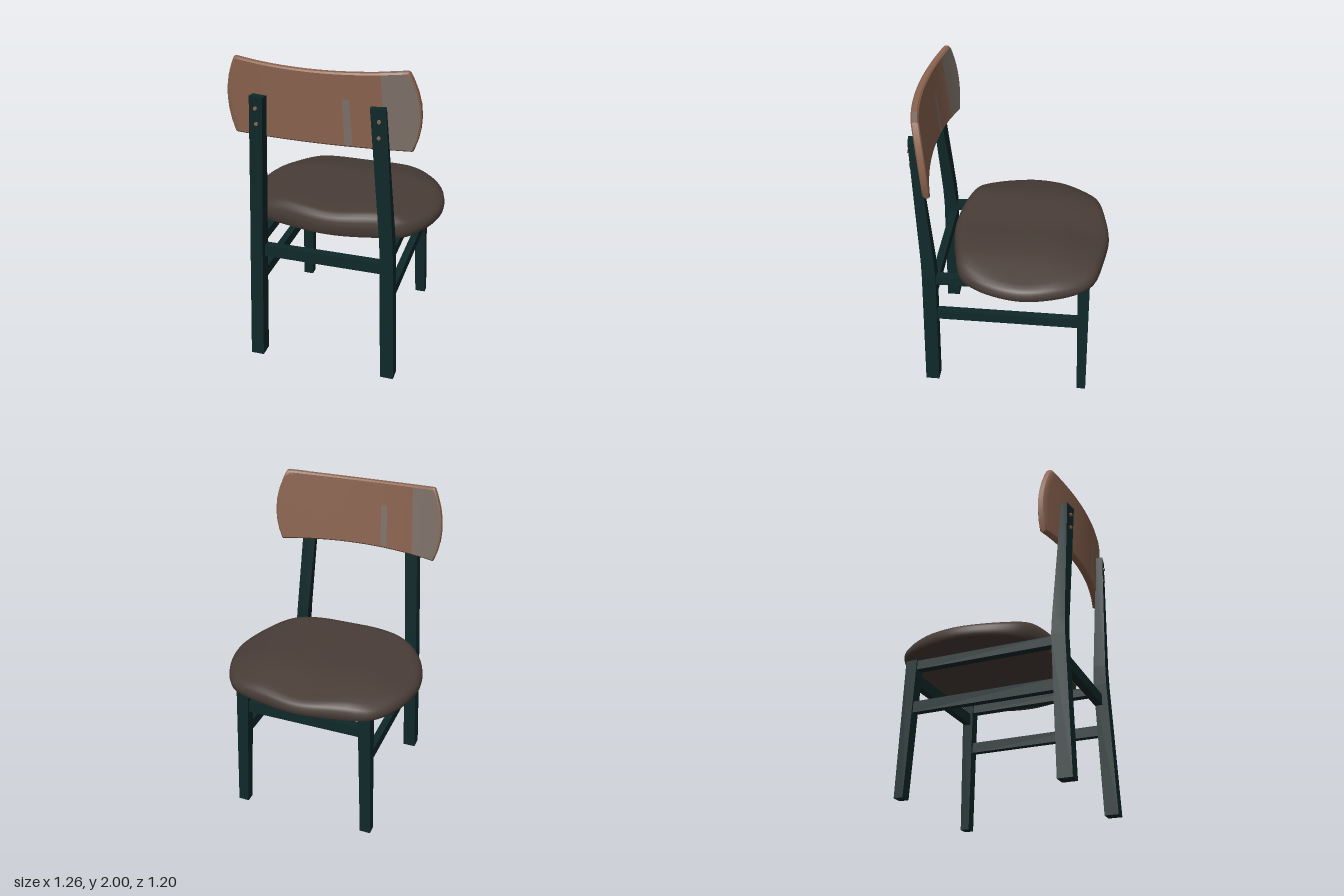
import * as THREE from 'three';
import { toCreasedNormals } from 'three/addons/utils/BufferGeometryUtils.js';

const lerp = THREE.MathUtils.lerp;
const smooth = THREE.MathUtils.smoothstep;
const paint = (name, color) => Object.assign(new THREE.MeshStandardMaterial({ color }), { name });

// Skin a grid of points; rows run along i, each row is a list of Vector3 along j
function skin(rows, closedJ, crease = 0.6) {
  const pos = [];
  const tri = (a, b, c) => {
    const n = b.clone().sub(a).cross(c.clone().sub(a));
    if (n.length() > 1e-10) for (const p of [a, b, c]) pos.push(p.x, p.y, p.z);
  };
  for (let i = 0; i < rows.length - 1; i++) {
    const n = rows[i].length;
    for (let j = 0; j < (closedJ ? n : n - 1); j++) {
      const k = (j + 1) % n;
      tri(rows[i][j], rows[i + 1][j], rows[i + 1][k]);
      tri(rows[i][j], rows[i + 1][k], rows[i][k]);
    }
  }
  const geo = new THREE.BufferGeometry();
  geo.setAttribute('position', new THREE.Float32BufferAttribute(pos, 3));
  return toCreasedNormals(geo, crease);
}

// Leg lofted from rectangular sections [y, cx, cz, width, depth, turn]
function legGeometry(sections, side) {
  const rows = sections.map(([y, cx, cz, w, d, turn]) =>
    [[1, -1], [1, 1], [-1, 1], [-1, -1]].map(([a, b]) =>
      new THREE.Vector3(a * w / 2, 0, b * d / 2)
        .applyAxisAngle(new THREE.Vector3(0, 1, 0), turn * side)
        .add(new THREE.Vector3(cx * side, y, cz))));
  const cap = (s) => Array.from({ length: 4 }, () => new THREE.Vector3(s[1] * side, s[0], s[2]));
  return skin([cap(sections[0]), ...rows, cap(sections[sections.length - 1])], true, 0.5);
}

// Backrest surface: u across, v upwards, t through the thickness
const halfWidth = (v) => 0.53 + 0.19 * v - 0.22 * v * v;
function backPoint(u, v, t) {
  const x = u * halfWidth(v), dip = 1 - u * u;
  const y = lerp(1.53 + 0.015 * dip, 2 - 0.02 * dip, v);
  return new THREE.Vector3(x, y, 0.535 + 0.03 * v - 0.25 * x * x + 0.0225 * t);
}

function backrestGeometry() {
  const loop = [[0, -0.6], [0, 0.6]];
  const heights = [0.02, 0.15, 0.3, 0.45, 0.6, 0.75, 0.9, 0.98];
  heights.forEach((v) => loop.push([v, 1]));
  loop.push([1, 0.6], [1, -0.6]);
  [...heights].reverse().forEach((v) => loop.push([v, -1]));
  const row = (u, k) => loop.map(([v, t]) => backPoint(u, v, t * k));
  const rows = [row(-1, 0), row(-1, 0.7)];
  for (let i = 0; i <= 32; i++) rows.push(row(lerp(-0.985, 0.985, i / 32), 1));
  rows.push(row(1, 0.7), row(1, 0));
  return skin(rows, true, 0.7);
}

// Thin worn patch on the outer (side 1) or inner (side -1) face
function wornPatch(side, [b0, b1], [t0, t1], v0, v1) {
  const rows = [];
  for (let i = 0; i <= 10; i++) {
    const row = [];
    for (let j = 0; j <= 10; j++) {
      const v = lerp(v0, v1, j / 10);
      const uAt = (b, t) => Math.min(lerp(b, t, j / 10) / halfWidth(v), 0.985);
      row.push(backPoint(side * lerp(uAt(b0, t0), uAt(b1, t1), i / 10), v, side * 1.08));
    }
    rows.push(row);
  }
  return skin(rows, false);
}

// Padded seat: rounded outline swept through a cushion profile
function seatGeometry() {
  const half = [[0.13, 0.4], [0.3, 0.365], [0.46, 0.315], [0.55, 0.21], [0.61, 0.06], [0.63, -0.1],
    [0.59, -0.29], [0.52, -0.43], [0.43, -0.515], [0.2, -0.575]];
  const pts = [[0, 0.41], ...half, [0, -0.6], ...half.map(([x, z]) => [-x, z]).reverse()];
  const outline = new THREE.CatmullRomCurve3(pts.map(([x, z]) => new THREE.Vector3(x, 0, z)), true).getPoints(88);
  const profile = [[0, 0], [0.5, 0], [0.975, 0], [0.993, 0.12], [1, 0.4], [0.993, 0.65], [0.975, 0.82],
    [0.945, 0.93], [0.9, 0.985], [0.84, 1], [0.7, 1], [0.55, 1], [0.4, 1], [0.25, 1], [0.1, 1], [0, 1]];
  const centreZ = -0.09;
  const rows = outline.map((p) => profile.map(([s, f]) => {
    const x = p.x * s, z = lerp(centreZ, p.z, s), ax = Math.abs(x);
    const top = 1.02 + 0.012 * smooth(ax, 0, 0.25) - 0.07 * smooth(ax, 0.28, 0.64) - 0.06 * smooth(-z, 0.22, 0.62);
    return new THREE.Vector3(x, 0.872 + (top - 0.872) * f, z);
  }));
  return skin(rows, false, 0.9);
}

export function createModel() {
  const chair = new THREE.Group();
  chair.name = 'chair';
  const frame = paint('dark teal frame', 0x0f2829);
  const wood = paint('brown wood', 0x8c6450);
  const worn = paint('worn grey wood', 0x80736a);
  const fabric = paint('dark brown upholstery', 0x493d37);
  const add = (name, geo, mat, x = 0, y = 0, z = 0) => {
    const mesh = new THREE.Mesh(geo, mat);
    mesh.name = name;
    mesh.position.set(x, y, z);
    chair.add(mesh);
    return mesh;
  };

  add('seat', seatGeometry(), fabric);
  add('backrest', backrestGeometry(), wood);

  // Worn areas on both faces and the top edge of the backrest
  for (const side of [1, -1]) {
    add('wornEnd', wornPatch(side, [0.38, 1], [0.355, 1], 0.02, 0.98), worn);
    add('wornStreak', wornPatch(side, [0.155, 0.2], [0.145, 0.185], 0.03, 0.66), worn);
  }
  const rim = [];
  for (let i = 0; i <= 8; i++) {
    rim.push([0.6, -0.6].map((t) => backPoint(lerp(0.74, 0.985, i / 8), 1.003, t)));
  }
  add('wornTopEdge', skin(rim, false), worn);

  for (const side of [1, -1]) {
    const label = side > 0 ? 'Left' : 'Right';
    // Legs
    add('backLeg' + label, legGeometry([
      [0, 0.437, 0.535, 0.085, 0.09, 0],
      [0.87, 0.41, 0.512, 0.08, 0.086, 0],
      [1.0, 0.402, 0.516, 0.08, 0.08, 0.03],
      [1.8, 0.349, 0.566, 0.088, 0.045, 0.17],
    ], side), frame);
    add('frontLeg' + label, legGeometry([
      [0, 0.437, -0.476, 0.07, 0.058, 0],
      [0.872, 0.405, -0.452, 0.078, 0.075, 0],
    ], side), frame);

    // Side rails
    add('upperSideRail' + label, new THREE.BoxGeometry(0.055, 0.058, 0.92), frame, side * 0.408, 0.838, 0.03);
    add('lowerSideRail' + label, new THREE.BoxGeometry(0.045, 0.07, 0.93), frame, side * 0.42, 0.56, 0.03);

    // Screws fixing the backrest
    for (const [y, z] of [[1.73, 0.587], [1.635, 0.583]]) {
      const screw = add('screw' + label, new THREE.CylinderGeometry(0.011, 0.011, 0.016, 12), wood, side * 0.358, y, z);
      screw.rotation.set(Math.PI / 2, 0, -side * 0.17);
    }
  }

  // Cross rails
  add('backRail', new THREE.BoxGeometry(0.78, 0.075, 0.05), frame, 0, 0.762, 0.495);
  add('frontRail', new THREE.BoxGeometry(0.78, 0.075, 0.045), frame, 0, 0.762, -0.455);
  return chair;
}
